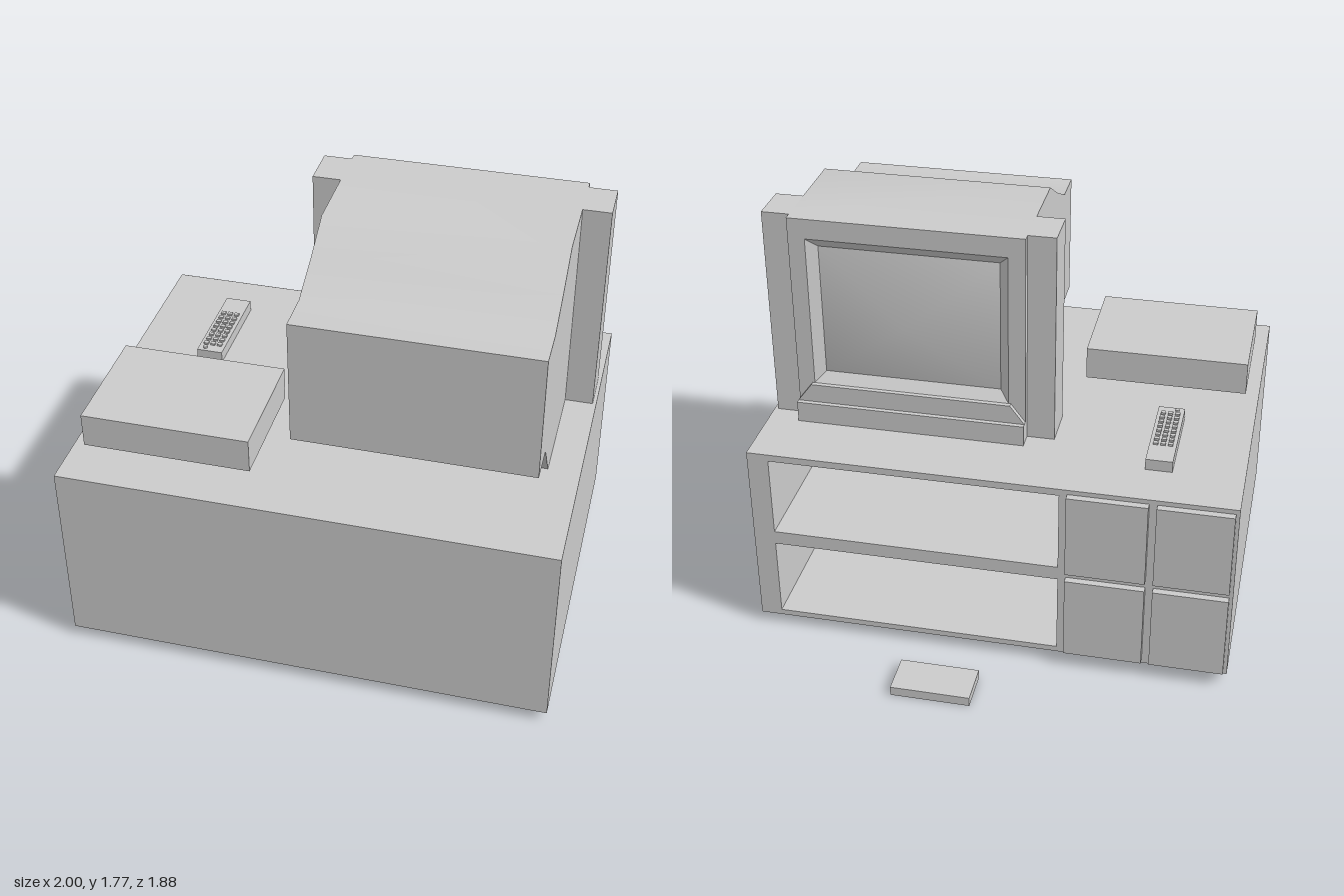
import * as THREE from 'three';
import { toCreasedNormals, mergeGeometries } from 'three/addons/utils/BufferGeometryUtils.js';

const grey = new THREE.MeshStandardMaterial({ color: 0xcccccc });

function add(parent, name, geometry) {
  const mesh = new THREE.Mesh(geometry, grey);
  mesh.name = name;
  parent.add(mesh);
  return mesh;
}

// Box given by its extents on each axis
function span(x0, x1, y0, y1, z0, z1) {
  return new THREE.BoxGeometry(x1 - x0, y1 - y0, z1 - z0)
    .translate((x0 + x1) / 2, (y0 + y1) / 2, (z0 + z1) / 2);
}

const path = (pts, Type = THREE.Shape) => new Type(pts.map(p => new THREE.Vector2(...p)));
const rect = (x0, x1, y0, y1) => [[x0, y0], [x1, y0], [x1, y1], [x0, y1]];
const extrude = (shape, depth) => new THREE.ExtrudeGeometry(shape, { depth, bevelEnabled: false });

// Joins rectangular rings [x0, x1, y0, y1, z] with flat faces seen from -z
function loftRects(rings) {
  const pos = [];
  const corners = rings.map(([x0, x1, y0, y1, z]) => rect(x0, x1, y0, y1).map(p => [...p, z]));
  for (let r = 0; r + 1 < corners.length; r++) {
    const a = corners[r], b = corners[r + 1];
    for (let i = 0; i < 4; i++) {
      const j = (i + 1) % 4;
      for (const v of [a[i], b[i], b[j], a[i], b[j], a[j]]) pos.push(...v);
    }
  }
  const g = new THREE.BufferGeometry();
  g.setAttribute('position', new THREE.Float32BufferAttribute(pos, 3));
  g.computeVertexNormals();
  return g;
}

function cabinet() {
  const group = new THREE.Group();
  group.name = 'cabinet';
  // Carcass with two open shelves
  const shell = path(rect(-1, 1, 0.045, 0.86));
  for (const y of [0.07, 0.48]) shell.holes.push(path(rect(-0.29, 0.91, y, y + 0.35), THREE.Path));
  add(group, 'carcass', extrude(shell, 1.435).translate(0, 0, -0.585));
  add(group, 'backPanel', span(-1, 1, 0.045, 0.86, 0.85, 0.935));
  // Four doors
  for (const x of [-0.985, -0.648])
    for (const y of [0.065, 0.47])
      add(group, 'door', span(x, x + 0.325 - (x < -0.9 ? 0.02 : 0), y, y + 0.37, -0.615, -0.585));
  return group;
}

function television() {
  const group = new THREE.Group();
  group.name = 'television';
  // Housing, drawn as a side profile of (z, y)
  const profile = [[-0.2, 0.86], [0.42, 0.86], [0.57, 1.065], [0.735, 1.065], [0.735, 1.595],
    [0.57, 1.595], [0.41, 1.67], [0.235, 1.77], [-0.2, 1.77]];
  const housing = extrude(path(profile.map(([z, y]) => [-z, y])), 0.96)
    .rotateY(Math.PI / 2).translate(-0.09, 0, 0);
  add(group, 'housing', toCreasedNormals(housing, 0.6));
  // Bezel with a sloping recess
  const base = [0.02, 0.76, 1.07, 1.64, -0.225];
  add(group, 'bezel', loftRects([
    [-0.09, 0.87, 0.86, 1.77, -0.2],
    [-0.09, 0.87, 0.86, 1.77, -0.265],
    [-0.02, 0.8, 1.03, 1.685, -0.265],
    base,
  ]));
  // Bulging screen with one middle point
  const [x0, x1, y0, y1, z] = base;
  const screen = new THREE.BufferGeometry();
  screen.setAttribute('position', new THREE.Float32BufferAttribute(
    [x0, y0, z, x1, y0, z, x1, y1, z, x0, y1, z, 0.39, 1.355, -0.327], 3));
  screen.setIndex([0, 4, 1, 1, 4, 2, 2, 4, 3, 3, 4, 0]);
  screen.computeVertexNormals();
  add(group, 'screen', screen);
  // Stepped lip below the screen
  add(group, 'lowerLip', span(-0.09, 0.87, 0.86, 0.95, -0.305, -0.265));
  add(group, 'upperLip', extrude(path([[-0.09, 0.95], [0.87, 0.95], [0.81, 1.03], [-0.03, 1.03]]), 0.02)
    .translate(0, 0, -0.285));
  // Speakers on both sides
  add(group, 'leftSpeaker', span(0.87, 0.985, 0.86, 1.77, -0.23, -0.05));
  add(group, 'rightSpeaker', span(-0.205, -0.09, 0.86, 1.77, -0.23, -0.05));
  return group;
}

function recorder() {
  const group = new THREE.Group();
  group.name = 'videoRecorder';
  add(group, 'upperCase', span(-0.945, -0.255, 0.94, 1.03, 0.25, 0.75));
  add(group, 'lowerCase', span(-0.945, -0.255, 0.885, 0.94, 0.255, 0.75));
  return group;
}

function remote() {
  const group = new THREE.Group();
  group.name = 'remoteControl';
  add(group, 'remoteBody', span(-0.71, -0.6, 0.86, 0.908, -0.375, 0.04));
  // Rows of small buttons
  const keys = [];
  for (let row = 0; row < 8; row++)
    for (let col = 0; col < 3; col++) {
      const x = -0.695 + col * 0.03, z = -0.26 + row * 0.034;
      keys.push(span(x, x + 0.02, 0.908, 0.916, z, z + 0.018));
    }
  add(group, 'buttons', mergeGeometries(keys));
  add(group, 'powerButton', new THREE.CylinderGeometry(0.009, 0.009, 0.008, 12).translate(-0.68, 0.912, 0.018));
  return group;
}

export function createModel() {
  const model = new THREE.Group();
  model.name = 'televisionStand';
  model.add(cabinet(), television(), recorder(), remote());
  // Cassette lying on the floor
  add(model, 'cassette', span(0, 0.33, 0, 0.04, -0.94, -0.765));
  return model;
}
